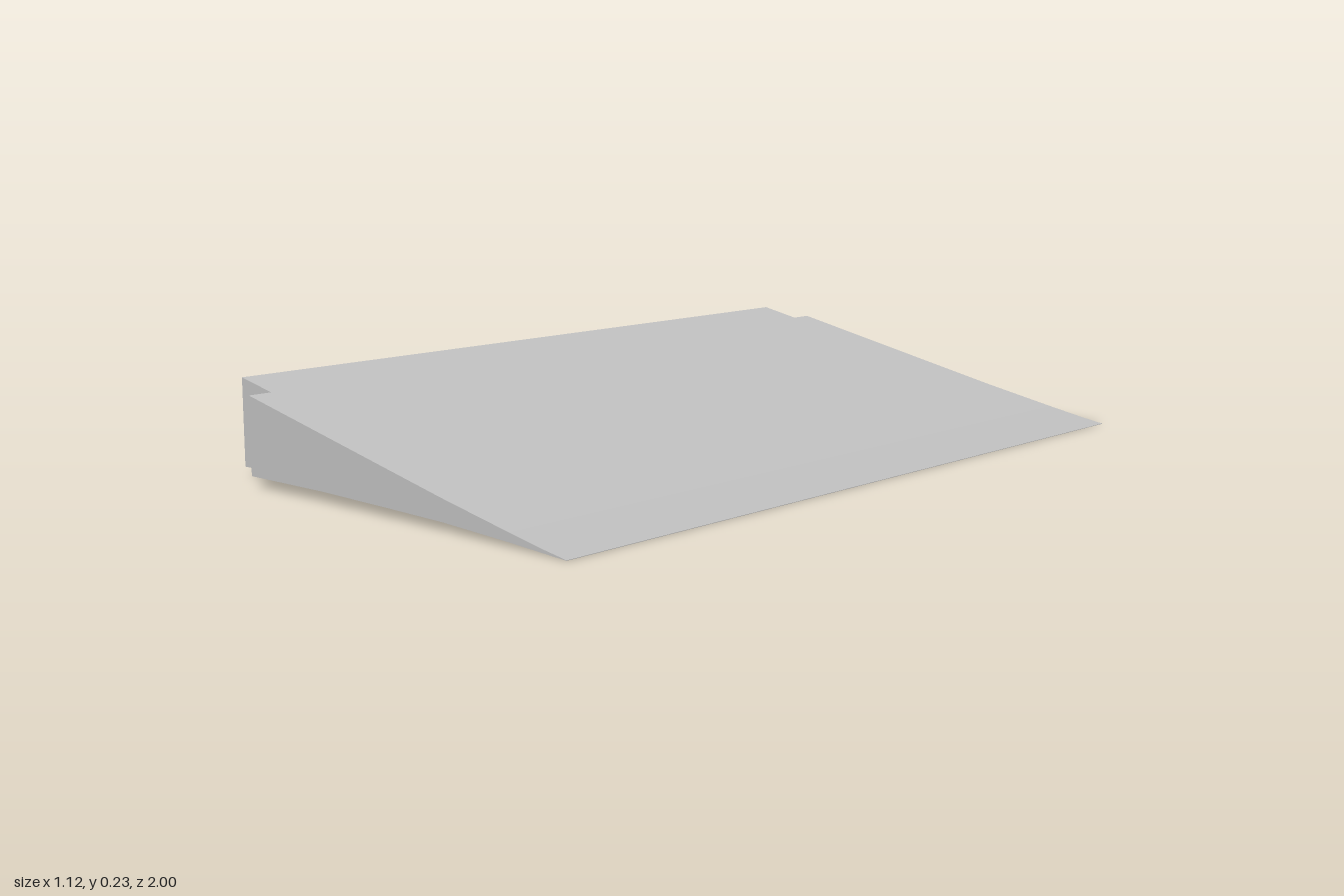
import * as THREE from 'three';

// Height of the sloping top and the cambered underside along x
const top = [[-0.56, 0.233], [-0.45, 0.21], [0, 0.113], [0.2, 0.07], [0.4, 0.03], [0.5, 0.011], [0.56, 0.001]];
const bottom = [[-0.56, 0.024], [-0.45, 0.026], [-0.2, 0.027], [0, 0.024], [0.2, 0.02], [0.4, 0.01], [0.56, 0]];

// Extrudes the part of the wedge profile between two x positions, centred on z
function wedgeSlice(name, x0, x1, width, material) {
  const inside = ([x]) => x >= x0 && x <= x1;
  const outline = [...bottom.filter(inside), ...top.filter(inside).reverse()];
  const shape = new THREE.Shape(outline.map(([x, y]) => new THREE.Vector2(x, y)));
  const geometry = new THREE.ExtrudeGeometry(shape, { depth: width, bevelEnabled: false });
  geometry.translate(0, 0, -width / 2);
  const mesh = new THREE.Mesh(geometry, material);
  mesh.name = name;
  return mesh;
}

export function createModel() {
  const grey = new THREE.MeshStandardMaterial({ color: 0xc0c0c0 });
  grey.name = 'light grey';

  const model = new THREE.Group();
  model.name = 'flap';
  // Full-width panel tapering to a thin trailing edge
  model.add(wedgeSlice('panel', -0.45, 0.56, 2, grey));
  // Narrower thick leading edge, leaving a notch at each end
  model.add(wedgeSlice('leadingEdge', -0.56, -0.45, 1.88, grey));
  return model;
}
